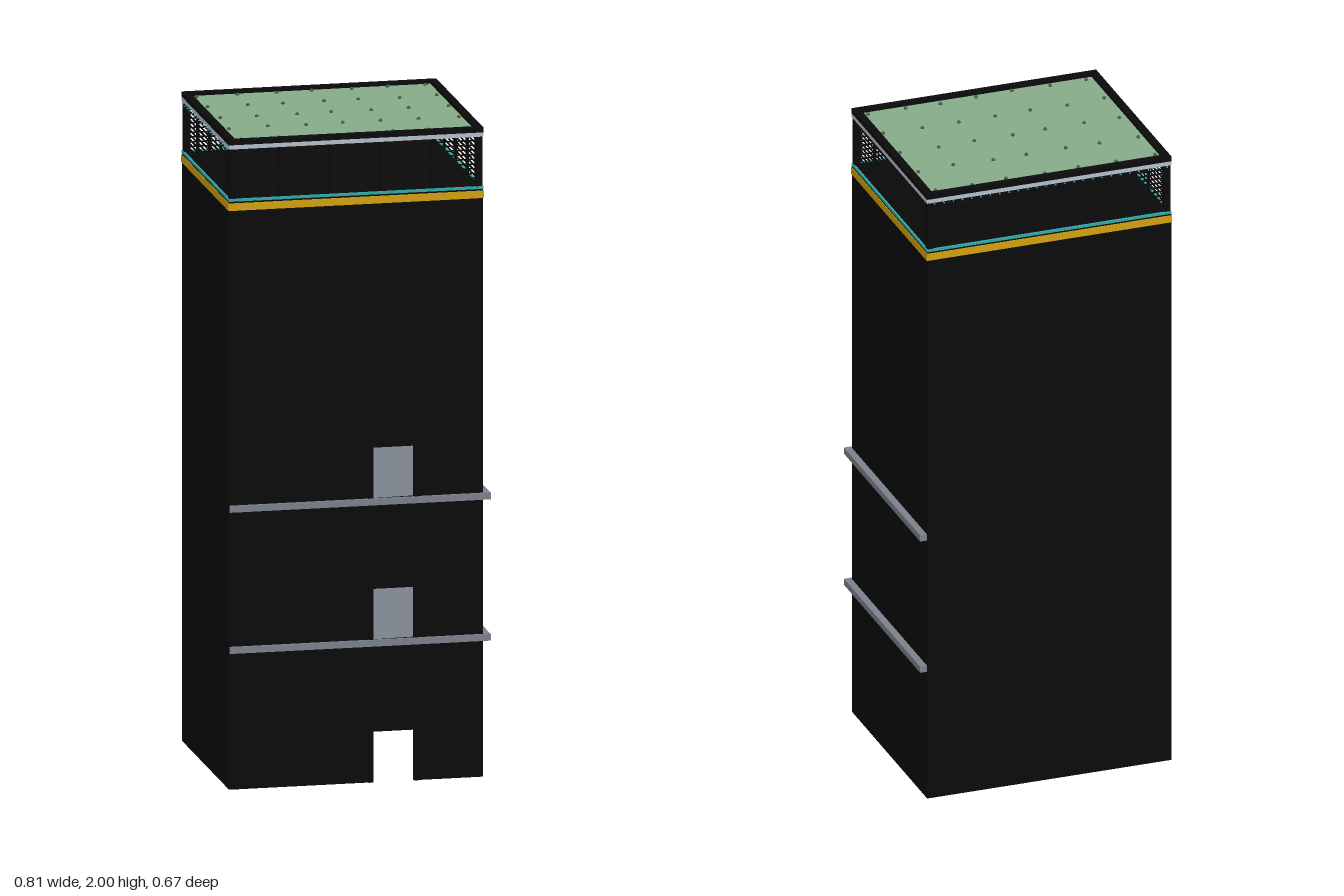
import * as THREE from 'three';

const mat = (name, color, side = THREE.FrontSide) => {
  const m = new THREE.MeshStandardMaterial({ color, side });
  m.name = name;
  return m;
};

export function createModel() {
  const black = mat('black cladding', 0x0a0a0a, THREE.DoubleSide);
  const grey = mat('concrete grey', 0x7b818b);
  const pale = mat('pale trim', 0xb4bfca);
  const gold = mat('gold band', 0xd2a010);
  const teal = mat('teal light', 0x2fa9a9);
  const green = mat('roof green', 0x84aa88);
  const stud = mat('stud green', 0x4a5f4e);

  const model = new THREE.Group();
  const X0 = -0.397, X1 = 0.383, Z0 = -0.325, Z1 = 0.325;

  // box given by its limits
  const box = (name, m, x0, x1, y0, y1, z0, z1, parent = model) => {
    const mesh = new THREE.Mesh(new THREE.BoxGeometry(x1 - x0, y1 - y0, z1 - z0), m);
    mesh.position.set((x0 + x1) / 2, (y0 + y1) / 2, (z0 + z1) / 2);
    mesh.name = name;
    parent.add(mesh);
    return mesh;
  };
  // four boxes running around the tower; o = outward offset, t = thickness
  const ring = (name, m, y0, y1, o, t, parent = model) => {
    const g = new THREE.Group();
    g.name = name;
    const a = X0 - o, b = X1 + o, c = Z0 - o, d = Z1 + o;
    box(name + 'Back', m, a, b, y0, y1, c, c + t, g);
    box(name + 'Front', m, a, b, y0, y1, d - t, d, g);
    box(name + 'Right', m, a, a + t, y0, y1, c + t, d - t, g);
    box(name + 'Left', m, b - t, b, y0, y1, c + t, d - t, g);
    parent.add(g);
  };

  // walls: open underneath, three door openings in the front
  const T = 0.012, TOP = 1.785;
  const doorX0 = 0.045, doorX1 = 0.17;
  const doors = [[0, 0.17], [0.44, 0.605], [0.875, 1.04]];
  box('backWall', black, X0, X1, 0, TOP, Z0, Z0 + T);
  box('rightWall', black, X0, X0 + T, 0, TOP, Z0 + T, Z1 - T);
  box('leftWall', black, X1 - T, X1, 0, TOP, Z0 + T, Z1 - T);
  const front = new THREE.Shape();
  [[X0, 0], [doorX0, 0], [doorX0, doors[0][1]], [doorX1, doors[0][1]], [doorX1, 0], [X1, 0], [X1, TOP], [X0, TOP]]
    .forEach(([x, y], i) => (i ? front.lineTo(x, y) : front.moveTo(x, y)));
  for (const [y0, y1] of doors.slice(1)) {
    const hole = new THREE.Path();
    hole.moveTo(doorX0, y0).lineTo(doorX0, y1).lineTo(doorX1, y1).lineTo(doorX1, y0).closePath();
    front.holes.push(hole);
  }
  const frontWall = new THREE.Mesh(new THREE.ExtrudeGeometry(front, { depth: T, bevelEnabled: false }), black);
  frontWall.position.z = Z1 - T;
  frontWall.name = 'frontWall';
  model.add(frontWall);

  // door frames
  for (const [y0, y1] of doors) {
    box('doorJamb', black, doorX0 - 0.014, doorX0, y0, y1 + 0.012, Z1, Z1 + 0.004);
    box('doorJamb', black, doorX1, doorX1 + 0.014, y0, y1 + 0.012, Z1, Z1 + 0.004);
    box('doorLintel', black, doorX0, doorX1, y1, y1 + 0.012, Z1, Z1 + 0.004);
  }

  // floor slabs that stick out at the front and the left side
  for (const y of [0.42, 0.855]) box('floorSlab', grey, X0 + 0.001, 0.405, y, y + 0.02, Z0 + 0.001, 0.334);

  // terrace deck with gold and teal bands
  box('terraceDeck', black, X0 + 0.005, X1 - 0.005, 1.785, 1.815, Z0 + 0.005, Z1 - 0.005);
  ring('goldBand', gold, 1.783, 1.806, 0.002, 0.007);
  ring('bandGap', black, 1.806, 1.811, 0, 0.006);
  ring('tealStrip', teal, 1.811, 1.819, 0.001, 0.006);

  // railing bars and posts around the terrace
  for (let i = 0; i < 10; i++) {
    const y = 1.828 + i * 0.0145;
    ring('railBar', black, y, y + 0.004, -0.002, 0.004);
  }
  const post = (x, z, r) => box('terracePost', black, x - r, x + r, 1.81, 1.975, z - r, z + r);
  for (const z of [Z0 + 0.012, Z1 - 0.012]) {
    for (const x of [X0 + 0.012, X1 - 0.012]) post(x, z, 0.01);
    for (const x of [-0.24, -0.085, 0.07, 0.225]) post(x, z, 0.004);
  }
  for (const x of [X0 + 0.012, X1 - 0.012]) for (const z of [-0.16, 0, 0.16]) post(x, z, 0.004);

  // triangular screen at the back of the terrace
  const tri = new THREE.Shape();
  tri.moveTo(X0 + 0.02, 1.975).lineTo(X1 - 0.005, 1.815).lineTo(X1 - 0.005, 1.975).closePath();
  const screen = new THREE.Mesh(new THREE.ShapeGeometry(tri), black);
  screen.position.z = Z0 + 0.008;
  screen.name = 'backScreen';
  model.add(screen);

  // roof: pale trim, black rim, green surface
  box('roofSlab', black, X0 + 0.008, X1 - 0.008, 1.972, 1.985, Z0 + 0.008, Z1 - 0.008);
  ring('paleTrim', pale, 1.972, 1.985, 0.001, 0.008);
  ring('roofRim', black, 1.985, 2, 0.001, 0.023);
  box('roofSurface', green, X0 + 0.022, X1 - 0.022, 1.985, 1.99, Z0 + 0.022, Z1 - 0.022);

  // slightly scattered studs on the roof
  let seed = 7;
  const jitter = () => ((seed = (seed * 16807) % 2147483647) / 2147483647 - 0.5) * 0.014;
  const studGeo = new THREE.SphereGeometry(0.006, 8, 6);
  for (let i = 0; i < 7; i++) for (let j = 0; j < 5; j++) {
    const s = new THREE.Mesh(studGeo, stud);
    s.position.set(-0.355 + i * 0.1165 + jitter(), 1.992, -0.285 + j * 0.1425 + jitter());
    s.name = 'roofStud';
    model.add(s);
  }

  // small lights under the eaves at the back and right side
  const tip = new THREE.ConeGeometry(0.003, 0.008, 5);
  const light = (x, z, rx, rz) => {
    const l = new THREE.Mesh(tip, teal);
    l.position.set(x, 1.968, z);
    l.rotation.set(rx, 0, rz);
    l.name = 'eaveLight';
    model.add(l);
  };
  for (let i = 0; i < 26; i++) light(-0.383 + i * 0.0297, Z0 - 0.004, -Math.PI / 2, 0);
  for (let i = 0; i < 20; i++) light(X0 - 0.004, -0.3 + i * 0.0315, 0, Math.PI / 2);

  return model;
}
